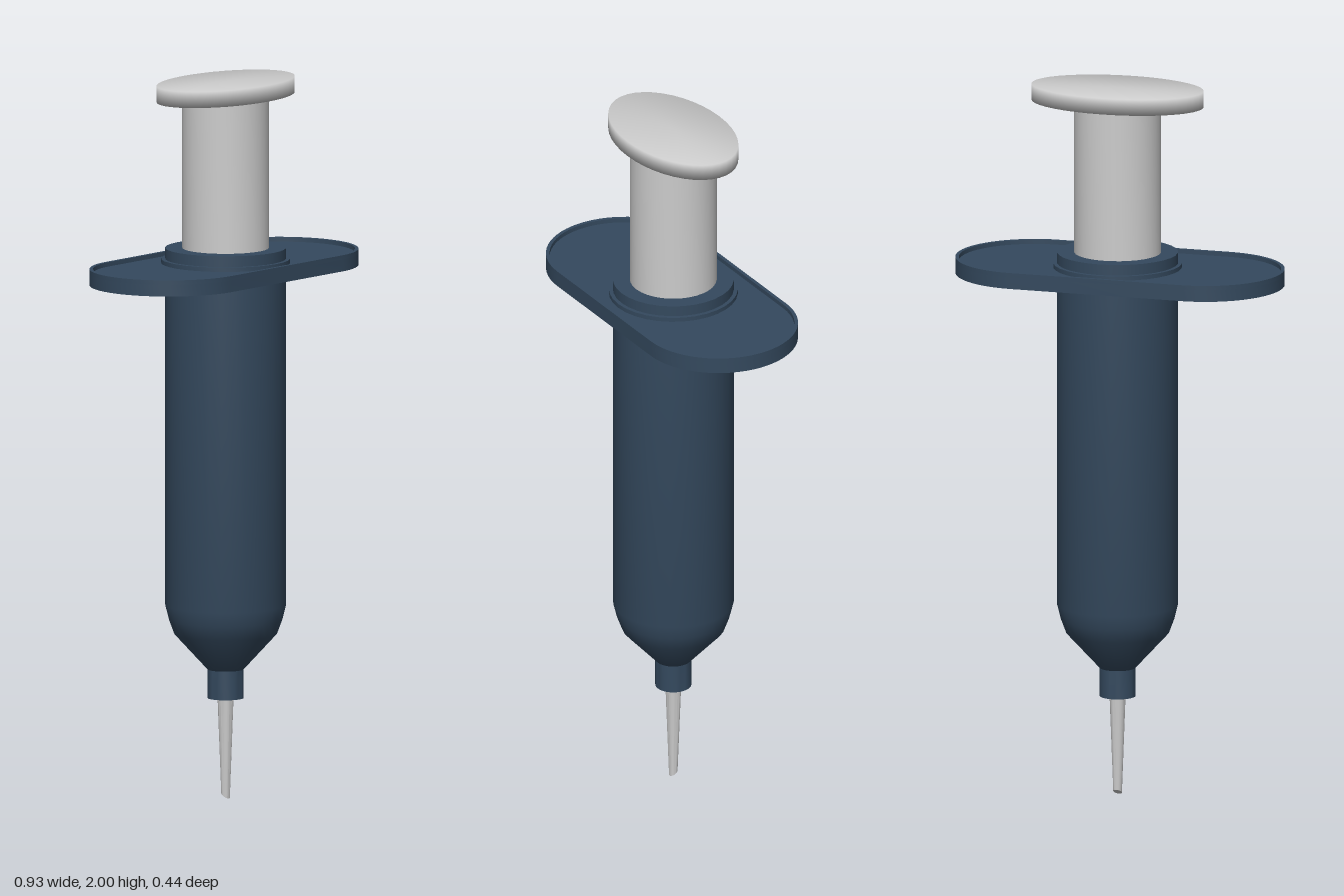
import * as THREE from 'three';
import { toCreasedNormals, mergeVertices } from 'three/addons/utils/BufferGeometryUtils.js';

const CX = 0.007; // the barrel axis sits slightly off centre

export function createModel() {
  const model = new THREE.Group();
  const grey = new THREE.MeshStandardMaterial({ color: 0xcccccc });
  const blue = new THREE.MeshStandardMaterial({ color: 0x34495e });

  const add = (name, geometry, material, x = CX) => {
    const mesh = new THREE.Mesh(geometry, material);
    mesh.name = name;
    mesh.position.x = x;
    model.add(mesh);
    return mesh;
  };
  // Turned part from [radius, y] points, bottom to top
  const turned = (points, segments = 32) => toCreasedNormals(
    new THREE.LatheGeometry(points.map(([r, y]) => new THREE.Vector2(r, y)), segments), 0.5);
  // Rounded finger plate outline, inset from the full size
  const outline = (inset, Type = THREE.Shape) => {
    const r = 0.219 - inset, c = 0.247;
    return new Type()
      .absarc(c, 0, r, -Math.PI / 2, Math.PI / 2)
      .absarc(-c, 0, r, Math.PI / 2, Math.PI * 1.5)
      .closePath();
  };
  const plate = (shape, y, depth) => new THREE.ExtrudeGeometry(shape, {
    depth, bevelEnabled: false, curveSegments: 16,
  }).rotateX(-Math.PI / 2).translate(0, y, 0);

  // Barrel with tapered shoulder and needle hub
  add('barrel', turned([
    [0, 0.28], [0.05, 0.28], [0.05, 0.36], [0.142, 0.46], [0.157, 0.5],
    [0.167, 0.54], [0.167, 1.535], [0.12, 1.535],
  ]), blue);

  // Finger plate with a shallow raised lip
  add('fingerPlate', toCreasedNormals(plate(outline(0), 1.46, 0.033), 0.5), blue, 0);
  const lip = outline(0);
  lip.holes.push(outline(0.01, THREE.Path));
  add('fingerPlateLip', toCreasedNormals(plate(lip, 1.493, 0.012), 0.5), blue, 0);
  add('collar', turned([[0.165, 1.49], [0.178, 1.49], [0.178, 1.505], [0.165, 1.505]]), blue);

  // Plunger rod
  add('plunger', turned([[0.12, 1.5], [0.12, 1.96]]), grey);

  // Oval thumb rest, shaded softly across its rim
  let thumb = new THREE.CylinderGeometry(1, 1, 0.045, 40);
  thumb.deleteAttribute('normal');
  thumb.deleteAttribute('uv');
  thumb = mergeVertices(thumb.scale(0.245, 1, 0.148).translate(0, 1.9775, 0));
  thumb.computeVertexNormals();
  add('thumbRest', thumb, grey);

  // Tapered needle, its tip cut at a slant
  const needle = new THREE.CylinderGeometry(0.023, 0.012, 0.3, 16).translate(0, 0.15, 0);
  const p = needle.attributes.position;
  for (let i = 0; i < p.count; i++) {
    if (p.getY(i) < 0.1) p.setY(i, 0.008 - p.getZ(i) * 0.65);
  }
  add('needle', toCreasedNormals(needle, 0.5), grey);

  return model;
}
